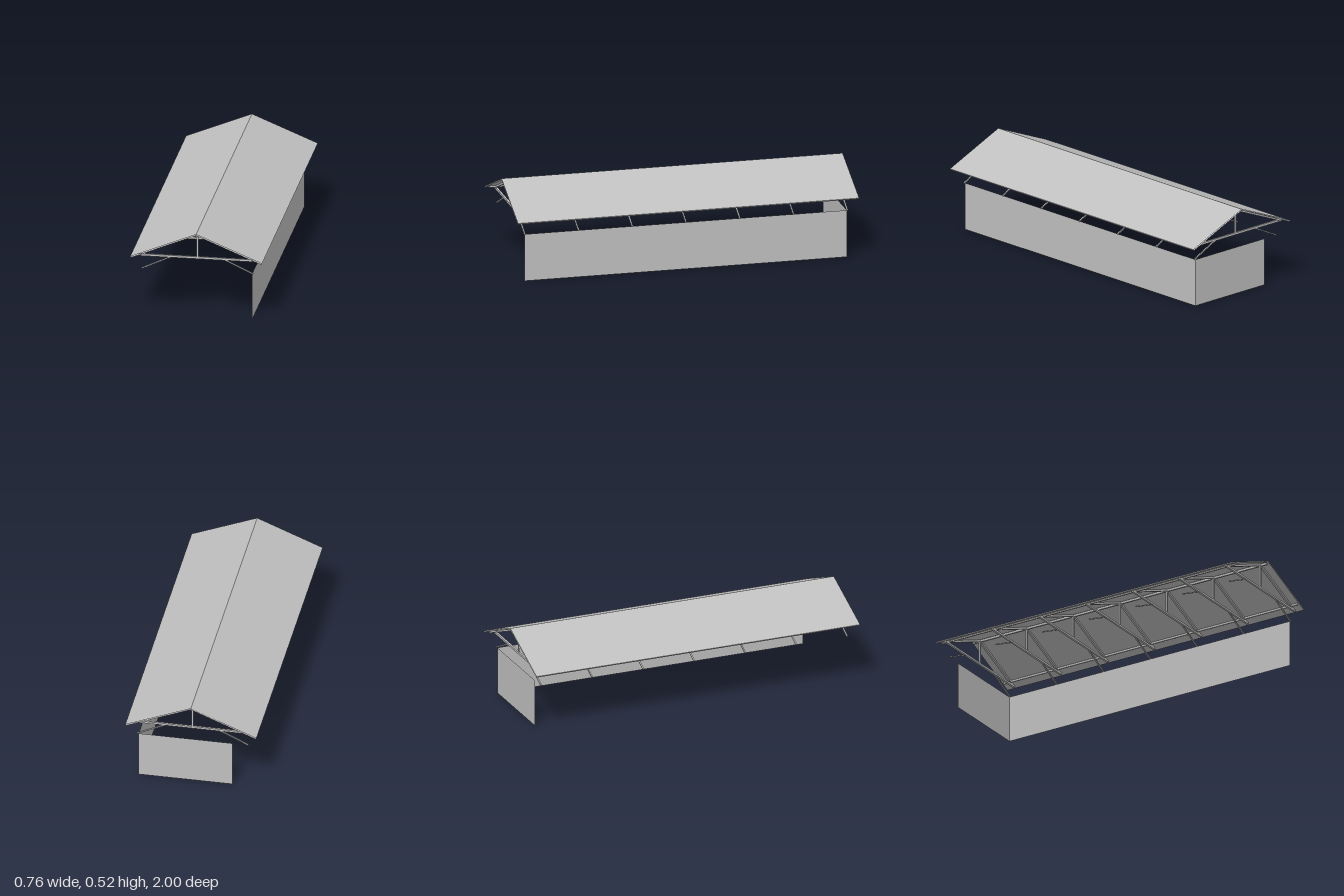
import * as THREE from 'three';

const grey = new THREE.MeshStandardMaterial({ color: 0xc0c0c0 });
grey.name = 'plain grey';
const greySheet = new THREE.MeshStandardMaterial({ color: 0xc0c0c0, side: THREE.DoubleSide });
greySheet.name = 'plain grey sheet';

const LENGTH = 2;         // roof length along z
const WALL_Z = 0.945;     // half length of the walls
const TRUSSES = 7;
const MEMBER = 0.012;     // timber depth along z

function mesh(name, geometry, parent, material = grey) {
  const m = new THREE.Mesh(geometry, material);
  m.name = name;
  parent.add(m);
  return m;
}

// A flat timber cut to an outline in the x-y plane, centred on z = 0
function timber(points, depth = MEMBER) {
  const shape = new THREE.Shape(points.map(([x, y]) => new THREE.Vector2(x, y)));
  return new THREE.ExtrudeGeometry(shape, { depth, bevelEnabled: false }).translate(0, 0, -depth / 2);
}

const mirrored = (points, side) => points.map(([x, y]) => [x * side, y]);

// A thin open sheet spanning two points in x-y along the whole roof
function sheet(name, [x0, y0], [x1, y1], parent) {
  const g = new THREE.PlaneGeometry(Math.hypot(x1 - x0, y1 - y0), LENGTH);
  g.rotateX(-Math.PI / 2);
  g.rotateZ(Math.atan2(y1 - y0, x1 - x0));
  g.translate((x0 + x1) / 2, (y0 + y1) / 2, 0);
  mesh(name, g, parent, greySheet);
}

function buildTruss() {
  const truss = new THREE.Group();
  mesh('tieBeam', timber([[-0.36, 0.355], [0.36, 0.355], [0.362, 0.367], [-0.362, 0.367]]), truss);
  mesh('kingPost', timber([[-0.005, 0.367], [0.005, 0.367], [0.005, 0.502], [-0.005, 0.502]], 0.01), truss);
  for (const side of [-1, 1]) {
    mesh('rafter', timber(mirrored([[0, 0.5], [0.328, 0.366], [0.362, 0.367], [0, 0.513]], side)), truss);
    // Slanting brace below the tie beam
    mesh('brace', timber(mirrored([[0.15, 0.356], [0.32, 0.276], [0.323, 0.282], [0.166, 0.356]], side), 0.008), truss);
  }
  return truss;
}

export function createModel() {
  const model = new THREE.Group();
  model.name = 'openShelter';

  // Roof: upper and lower sheets joined by a narrow eave strip
  const roof = new THREE.Group();
  roof.name = 'roof';
  model.add(roof);
  for (const side of [-1, 1]) {
    sheet('roofTop', [0, 0.52], [side * 0.379, 0.365], roof);
    sheet('roofUnderside', [0, 0.513], [side * 0.376, 0.358], roof);
    sheet('eaveStrip', [side * 0.379, 0.365], [side * 0.376, 0.358], roof);
  }

  // Row of identical trusses
  for (let i = 0; i < TRUSSES; i++) {
    const truss = buildTruss();
    truss.name = 'truss' + (i + 1);
    truss.position.z = -WALL_Z + (2 * WALL_Z * i) / (TRUSSES - 1);
    model.add(truss);
  }

  // Lengthwise ridge beam and eave purlins
  mesh('ridgeBeam', new THREE.BoxGeometry(0.01, 0.012, 1.98), model).position.y = 0.503;
  for (const side of [-1, 1]) {
    mesh('purlin', new THREE.BoxGeometry(0.009, 0.013, 1.98), model).position.set(side * 0.322, 0.3775, 0);
  }

  // Side wall and back wall, both thin sheets
  const sideWall = mesh('sideWall', new THREE.PlaneGeometry(2 * WALL_Z, 0.277), model, greySheet);
  sideWall.rotation.y = Math.PI / 2;
  sideWall.position.set(0.312, 0.1385, 0);
  const backWall = mesh('backWall', new THREE.PlaneGeometry(0.542, 0.277), model, greySheet);
  backWall.position.set(0.041, 0.1385, -WALL_Z);

  return model;
}
